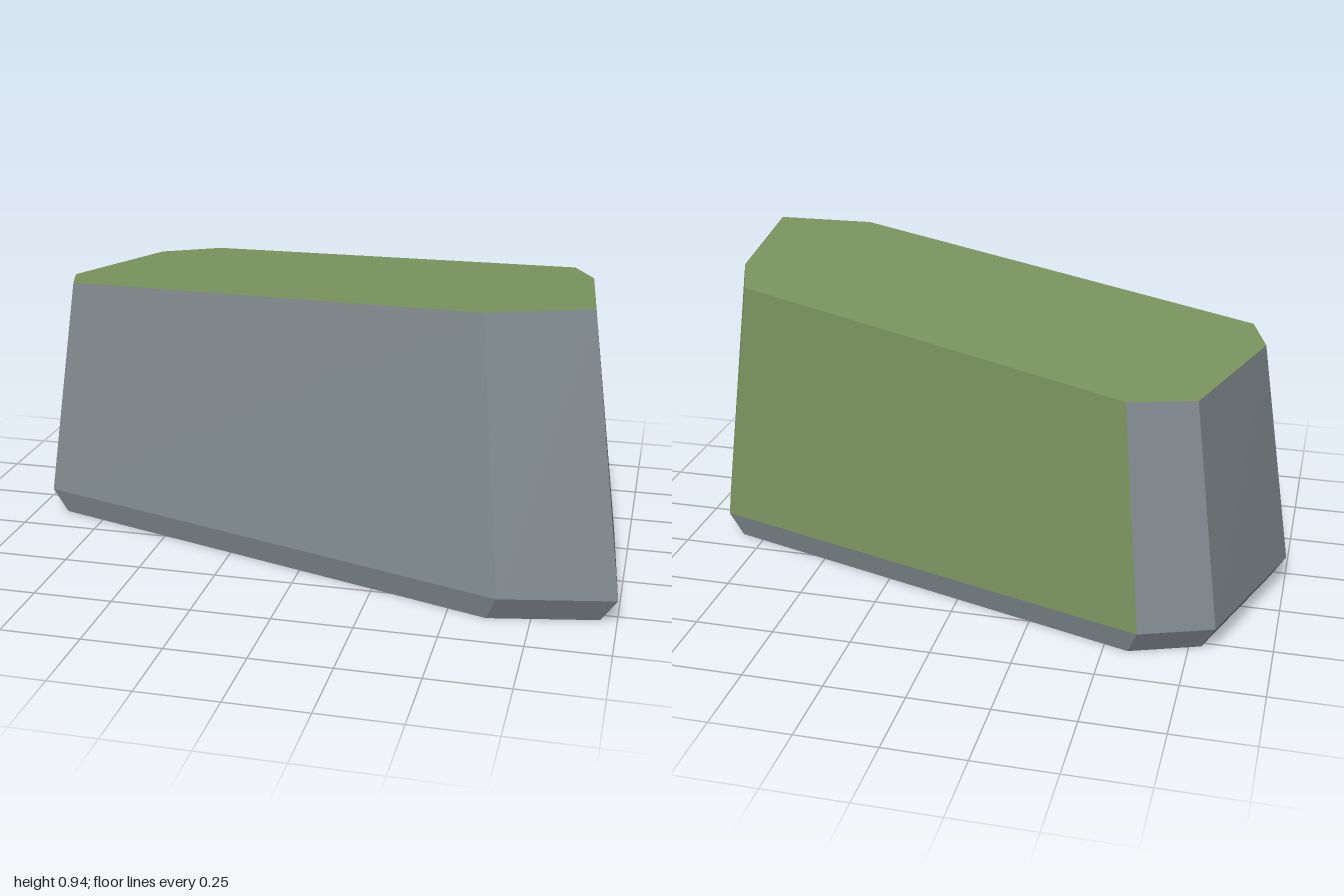
import * as THREE from 'three';

// Eight-sided outline of the widest ring, as [x, z], clockwise from above
const OUTLINE = [
  [-0.605, -0.632], [0.873, -0.172], [0.955, 0.04], [1.0, 0.562],
  [0.652, 0.63], [-0.94, 0.132], [-1.0, -0.04], [-0.828, -0.548],
];
const MOSSY_SIDES = [0, 1];

// Ring of points: the outline scaled, at a height given by a rule
const ring = (scale, height) => OUTLINE.map(([x, z]) =>
  new THREE.Vector3(x * scale, height(x * scale, z * scale), z * scale));

// Flat-shaded geometry from convex polygons
function facets(polygons) {
  const points = [];
  for (const p of polygons) {
    for (let i = 1; i < p.length - 1; i++) points.push(p[0], p[i], p[i + 1]);
  }
  const geometry = new THREE.BufferGeometry().setFromPoints(points);
  geometry.computeVertexNormals();
  return geometry;
}

// Quads joining a lower ring to an upper ring
const band = (low, high) => low.map((p, i) => {
  const j = (i + 1) % low.length;
  return [low[j], p, high[i], high[j]];
});

export function createModel() {
  const stone = new THREE.MeshStandardMaterial({ color: 0x838d92 });
  stone.name = 'stone grey';
  const moss = new THREE.MeshStandardMaterial({ color: 0x7b945f });
  moss.name = 'moss green';

  const foot = ring(0.95, () => 0);
  const waist = ring(1, () => 0.08);
  // The top is one sloping plane
  const crown = ring(0.887, (x, z) => 0.856 + 0.0594 * x + 0.0622 * z);
  const sides = band(waist, crown);

  const group = new THREE.Group();
  group.name = 'rock';
  const add = (name, polygons, material) => {
    const mesh = new THREE.Mesh(facets(polygons), material);
    mesh.name = name;
    group.add(mesh);
  };

  add('underside', [foot], stone);
  add('bottomBevel', band(foot, waist), stone);
  add('stoneSides', sides.filter((_, i) => !MOSSY_SIDES.includes(i)), stone);
  add('mossySides', sides.filter((_, i) => MOSSY_SIDES.includes(i)), moss);
  add('mossyTop', [[...crown].reverse()], moss);
  return group;
}
